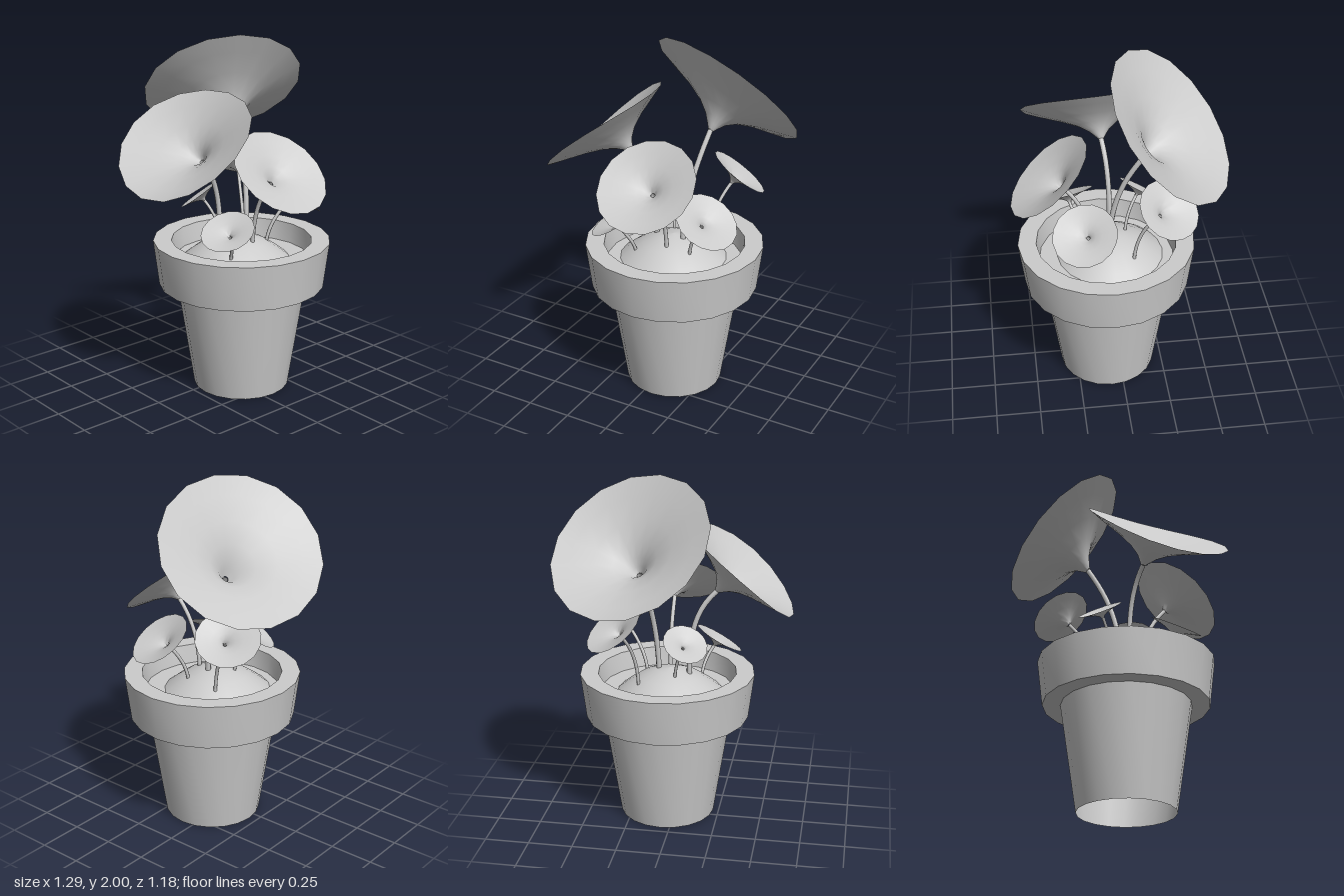
import * as THREE from 'three';
import { toCreasedNormals } from 'three/addons/utils/BufferGeometryUtils.js';

const material = new THREE.MeshStandardMaterial({ color: 0xcccccc, side: THREE.DoubleSide });
const UP = new THREE.Vector3(0, 1, 0);

function addMesh(parent, name, geometry) {
  const mesh = new THREE.Mesh(geometry, material);
  mesh.name = name;
  parent.add(mesh);
  return mesh;
}

// Lathe from [radius, height] pairs
function turn(points, sides) {
  return new THREE.LatheGeometry(points.map(([r, y]) => new THREE.Vector2(r, y)), sides);
}

// Trumpet flower: curved stem from the soil, flaring into a wide bell.
// centre and facing describe the rim; throat is where stem and bell meet.
function makeFlower({ name, foot, throat, centre, facing, radius, oval = 1, cup = 0 }) {
  const flower = new THREE.Group();
  flower.name = name;
  const c = new THREE.Vector3(...centre);
  const t = new THREE.Vector3(...throat);
  const f = new THREE.Vector3(foot[0], 0.76, foot[1]);
  const stemRadius = 0.006 + 0.021 * radius;
  const rise = t.y - f.y;

  const path = new THREE.CubicBezierCurve3(
    f,
    f.clone().addScaledVector(UP, rise * 0.45),
    t.clone().addScaledVector(c.clone().sub(t).normalize(), -rise * 0.35),
    t
  );
  addMesh(flower, 'stem', new THREE.TubeGeometry(path, 14, stemRadius, 8));

  // Bell profile: share of rim radius, share of depth below the rim
  const turned = new THREE.Quaternion().setFromUnitVectors(UP, new THREE.Vector3(...facing).normalize());
  const offset = t.clone().sub(c).applyQuaternion(turned.clone().invert());
  const profile = [[0.08, 0.88], [0.14, 0.73], [0.28, 0.52], [0.5, 0.32], [0.78, 0.14], [1, 0]]
    .map(([r, d]) => [r * radius, d * offset.y]);
  const geometry = turn([[stemRadius, offset.y], ...profile], 16);

  // Widen into an oval, lift two sides, and shear so the narrow end meets the stem
  const p = geometry.attributes.position;
  for (let i = 0; i < p.count; i++) {
    const x = p.getX(i), y = p.getY(i), z = p.getZ(i);
    const share = y / offset.y;
    p.setXYZ(i, x * oval + offset.x * share, y + cup * (z / radius) ** 2, z + offset.z * share);
  }
  const bell = addMesh(flower, 'bell', toCreasedNormals(geometry, 1.2));
  bell.quaternion.copy(turned);
  bell.position.copy(c);
  return flower;
}

export function createModel() {
  const model = new THREE.Group();
  model.name = 'pottedFlowers';

  // Tapered pot, open underneath, with an overhanging collar and a recessed floor
  const potProfile = [
    [0.272, 0], [0.365, 0.608], [0.466, 0.608],
    [0.498, 0.866], [0.395, 0.866], [0.38, 0.755], [0, 0.755],
  ];
  const pot = addMesh(model, 'pot', toCreasedNormals(turn(potProfile, 20), 0.6));
  pot.position.set(0.055, 0, 0.068);

  // Low mound of soil, slightly off centre
  const soil = addMesh(model, 'soil',
    turn([[0.3, 0.755], [0.25, 0.795], [0.17, 0.849], [0.08, 0.884], [0, 0.895]], 20));
  soil.position.set(0.035, 0, 0.045);

  // Three large and four small flowers; foot is [x, z]
  const flowers = [
    { name: 'largeBackFlower', foot: [0.1, 0.06], throat: [0.172, 1.48, -0.125], centre: [0.203, 1.677, -0.262], facing: [0.29, 0.68, -0.66], radius: 0.443, oval: 1.05 },
    { name: 'largeSideFlower', foot: [-0.075, 0.035], throat: [-0.225, 1.355, 0.062], centre: [-0.36, 1.477, 0.09], facing: [-0.64, 0.77, 0.06], radius: 0.41, oval: 0.92, cup: 0.04 },
    { name: 'frontFlower', foot: [0.055, 0.155], throat: [0.053, 1.235, 0.305], centre: [0.053, 1.315, 0.38], facing: [0, 0.76, 0.65], radius: 0.278 },
    { name: 'smallFrontLeftFlower', foot: [0.178, 0.13], throat: [0.287, 1.055, 0.19], centre: [0.328, 1.103, 0.212], facing: [0.55, 0.81, 0.22], radius: 0.178 },
    { name: 'smallBackLeftFlower', foot: [0.195, -0.07], throat: [0.268, 1.155, -0.2], centre: [0.298, 1.212, -0.245], facing: [0.5, 0.78, -0.35], radius: 0.176 },
    { name: 'smallFrontRightFlower', foot: [-0.125, 0.18], throat: [-0.187, 0.965, 0.25], centre: [-0.217, 1.01, 0.26], facing: [-0.47, 0.85, 0.2], radius: 0.148 },
    { name: 'smallBackRightFlower', foot: [0, -0.04], throat: [-0.062, 1.068, -0.115], centre: [-0.08, 1.105, -0.14], facing: [-0.35, 0.8, -0.49], radius: 0.127 },
  ];
  for (const spec of flowers) model.add(makeFlower(spec));

  return model;
}
